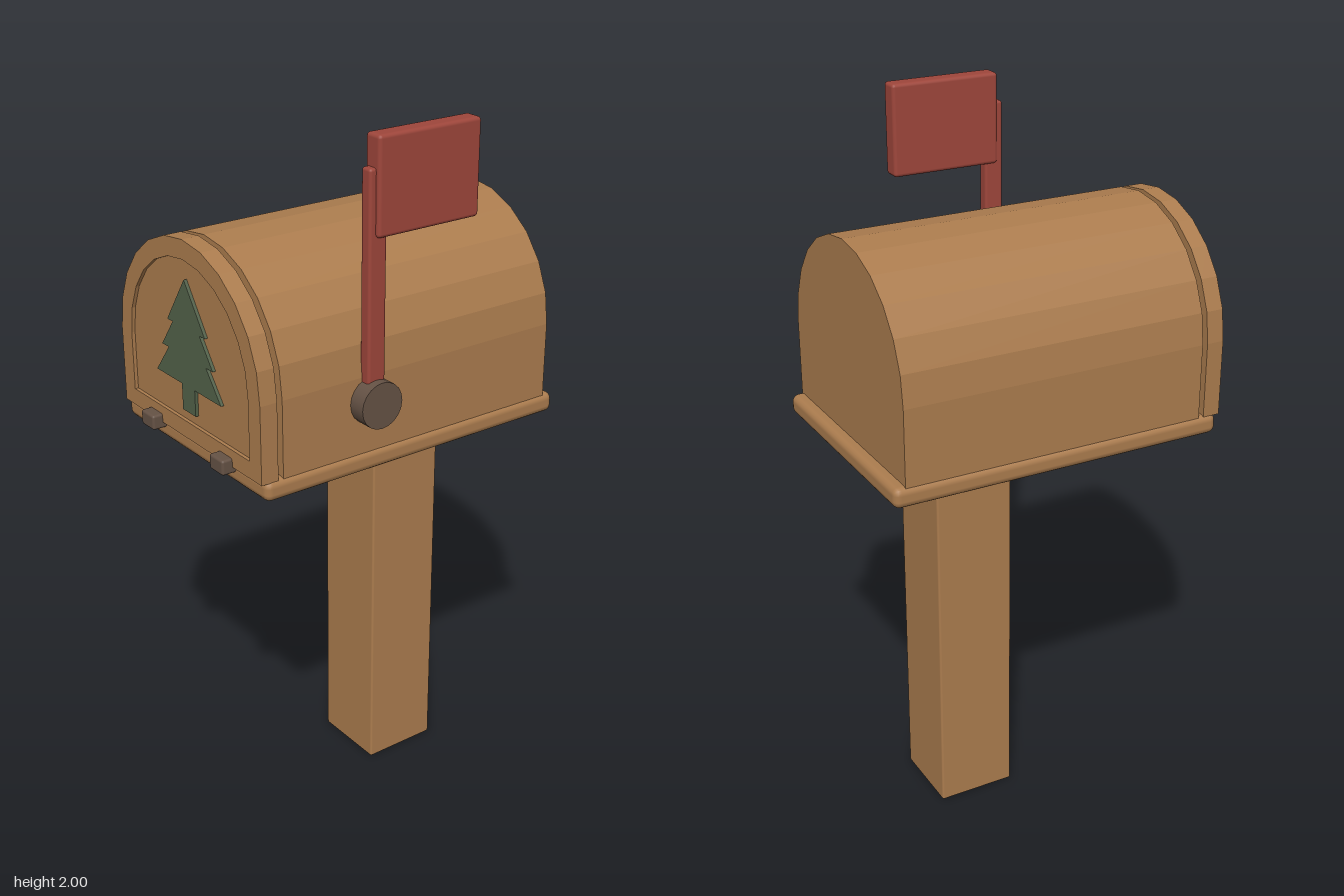
import * as THREE from 'three';
import { RoundedBoxGeometry } from 'three/addons/geometries/RoundedBoxGeometry.js';

const CX = -0.022;      // centre line of the box
const SPRING = 1.382;   // height where the arch begins

const paint = (name, color) => {
  const m = new THREE.MeshStandardMaterial({ color });
  m.name = name;
  return m;
};

// Straight sides topped by a twelve-sided half circle
function archPoints(radius, bottom) {
  const pts = [new THREE.Vector2(-radius, bottom), new THREE.Vector2(radius, bottom)];
  for (let i = 0; i <= 12; i++) {
    const a = (i / 12) * Math.PI;
    pts.push(new THREE.Vector2(radius * Math.cos(a), SPRING + radius * Math.sin(a)));
  }
  return pts;
}

export function createModel() {
  const model = new THREE.Group();
  model.name = 'mailbox';
  const wood = paint('wood', 0xab7c4e);
  const red = paint('flagRed', 0x9e463b);
  const green = paint('treeGreen', 0x53624a);
  const iron = paint('darkBrown', 0x655245);

  const add = (name, geometry, material) => {
    const mesh = new THREE.Mesh(geometry, material);
    mesh.name = name;
    model.add(mesh);
    return mesh;
  };
  // Softened box given by its limits on each axis
  const box = (name, x, y, z, radius, material) =>
    add(name, new RoundedBoxGeometry(x[1] - x[0], y[1] - y[0], z[1] - z[0], 2, radius), material)
      .position.set((x[0] + x[1]) / 2, (y[0] + y[1]) / 2, (z[0] + z[1]) / 2);
  // Outline pushed from z0 to z1
  const slab = (name, shape, z0, z1, material) =>
    add(name, new THREE.ExtrudeGeometry(shape, { depth: z1 - z0, bevelEnabled: false }), material)
      .position.set(CX, 0, z0);

  // Post and floor board
  box('post', [-0.135, 0.09], [0, 1.13], [-0.275, -0.05], 0.006, wood);
  box('floorBoard', [-0.363, 0.319], [1.118, 1.175], [-0.5, 0.46], 0.02, wood);

  // Arched body, door frame and recessed door panel
  slab('body', new THREE.Shape(archPoints(0.333, 1.17)), -0.467, 0.405, wood);
  const frame = new THREE.Shape(archPoints(0.333, 1.17));
  frame.holes.push(new THREE.Path(archPoints(0.281, 1.218)));
  slab('doorFrame', frame, 0.42, 0.47, wood);
  slab('doorPanel', new THREE.Shape(archPoints(0.281, 1.218)), 0.4, 0.46, wood);

  // Three-tiered tree on the door
  const half = [[0, 1.61], [0.09, 1.48], [0.064, 1.48], [0.122, 1.402], [0.09, 1.402],
    [0.155, 1.32], [0.031, 1.32], [0.031, 1.247]];
  const outline = [...half, ...half.slice(1).reverse().map(([x, y]) => [-x, y])];
  slab('tree', new THREE.Shape(outline.map(([x, y]) => new THREE.Vector2(x, y))), 0.46, 0.469, green);

  // Hinges
  for (const side of [-1, 1]) {
    const x = CX + side * 0.17;
    box('hinge', [x - 0.031, x + 0.031], [1.152, 1.194], [0.455, 0.5], 0.007, iron);
  }

  // Flag on the left side
  const pivot = add('flagPivot', new THREE.CylinderGeometry(0.063, 0.063, 0.05, 20), iron);
  pivot.rotation.z = Math.PI / 2;
  pivot.position.set(0.336, 1.315, 0.135);
  box('flagPole', [0.301, 0.337], [1.31, 1.92], [0.108, 0.162], 0.008, red);
  box('flag', [0.294, 0.349], [1.748, 2], [-0.172, 0.144], 0.01, red);

  return model;
}
